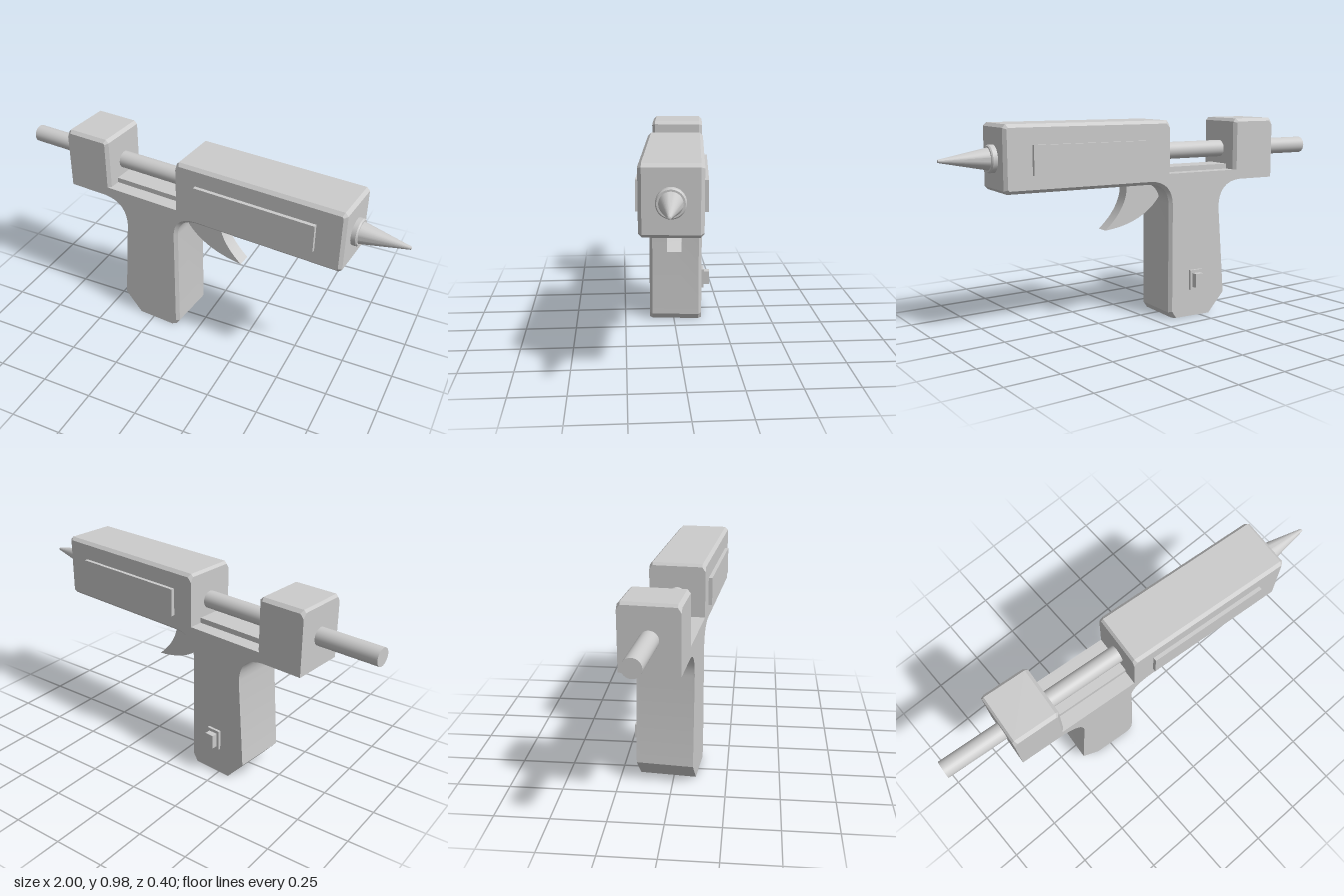
import * as THREE from 'three';
import { toCreasedNormals } from 'three/addons/utils/BufferGeometryUtils.js';

const HALF = 0.133;     // half width of the body
const CHAMFER = 0.015;
const AXIS_Y = 0.82;    // height of stick and nozzle

const material = new THREE.MeshStandardMaterial({ color: 0xcccccc });

function add(group, name, geometry, x = 0, y = 0, z = 0) {
  const mesh = new THREE.Mesh(geometry, material);
  mesh.name = name;
  mesh.position.set(x, y, z);
  group.add(mesh);
  return mesh;
}

// Points of a quadratic curve
function curve(a, b, c, n = 8) {
  return new THREE.QuadraticBezierCurve(
    new THREE.Vector2(...a), new THREE.Vector2(...b), new THREE.Vector2(...c)).getPoints(n);
}

// Slab from a counter-clockwise outline; chamfered[i] tells if edge i -> i+1 is chamfered
function chamferedSlab(outline, chamfered, half, size) {
  const n = outline.length;
  const normals = outline.map((p, i) => {
    const d = outline[(i + 1) % n].clone().sub(p).normalize();
    return new THREE.Vector2(-d.y, d.x); // points inward
  });
  const inset = outline.map((p, i) => {
    const j = (i + n - 1) % n;
    const a = normals[j], b = normals[i];
    const da = chamfered[j] ? size : 0, db = chamfered[i] ? size : 0;
    const det = a.x * b.y - a.y * b.x;
    if (Math.abs(det) < 0.02) return p.clone().addScaledVector(b, (da + db) / 2);
    return new THREE.Vector2(p.x + (da * b.y - db * a.y) / det, p.y + (a.x * db - b.x * da) / det);
  });
  const rings = [[inset, -half], [outline, size - half], [outline, half - size], [inset, half]];
  const pos = [];
  const put = (r, i) => pos.push(rings[r][0][i].x, rings[r][0][i].y, rings[r][1]);
  for (let r = 0; r < 3; r++) {
    for (let i = 0; i < n; i++) {
      const k = (i + 1) % n;
      put(r, i); put(r, k); put(r + 1, k);
      put(r, i); put(r + 1, k); put(r + 1, i);
    }
  }
  for (const [a, b, c] of THREE.ShapeUtils.triangulateShape(inset, [])) {
    put(3, a); put(3, b); put(3, c);
    put(0, a); put(0, c); put(0, b);
  }
  const g = new THREE.BufferGeometry();
  g.setAttribute('position', new THREE.Float32BufferAttribute(pos, 3));
  return toCreasedNormals(g, 0.4);
}

function bodyGeometry() {
  const outline = [], flags = [];
  const run = (chamfer, points) => points.forEach((p) => {
    outline.push(Array.isArray(p) ? new THREE.Vector2(...p) : p);
    flags.push(chamfer);
  });
  // rear block underside, back of the grip
  run(false, [[-0.70, 0.672]]);
  run(false, curve([-0.50, 0.672], [-0.375, 0.665], [-0.373, 0.54]));
  run(false, [[-0.408, 0.10], [-0.32, 0]]);
  // front of the grip, fillet and barrel housing
  run(false, [[-0.107, 0]].slice(1));
  run(true, [[-0.107, 0], [-0.087, 0.03]]);
  run(true, curve([-0.087, 0.57], [-0.083, 0.668], [0.02, 0.672]));
  run(true, [[0.738, 0.672], [0.753, 0.687], [0.753, 0.96], [0.738, 0.975], [-0.072, 0.975]]);
  // saddle and rear block
  run(false, [[-0.083, 0.962], [-0.083, 0.72], ]);
  run(true, [[-0.467, 0.72], [-0.467, 0.96], [-0.482, 0.975], [-0.69, 0.975]]);
  run(false, [[-0.70, 0.963]]);
  return chamferedSlab(outline, flags, HALF, CHAMFER);
}

function triggerGeometry() {
  const shape = new THREE.Shape();
  shape.moveTo(-0.09, 0.68);
  shape.lineTo(-0.09, 0.61);
  shape.quadraticCurveTo(0.0, 0.475, 0.215, 0.455);
  shape.quadraticCurveTo(0.115, 0.54, 0.10, 0.63);
  shape.lineTo(0.10, 0.68);
  const g = new THREE.ExtrudeGeometry(shape, { depth: 0.068, bevelEnabled: false, curveSegments: 10 });
  return toCreasedNormals(g.translate(0, 0, -0.034), 0.5);
}

export function createModel() {
  const model = new THREE.Group();
  model.name = 'glueGun';

  // Housing with grip, rear block and rail
  add(model, 'body', bodyGeometry());
  add(model, 'saddleRail', new THREE.BoxGeometry(0.40, 0.035, 0.13), -0.275, 0.7275, 0);
  add(model, 'trigger', triggerGeometry());

  // Glue stick running through the rear block
  const stick = new THREE.CylinderGeometry(0.042, 0.042, 0.95, 32).rotateZ(-Math.PI / 2);
  add(model, 'glueStick', stick, -0.525, AXIS_Y, 0);

  // Nozzle: collar and cone
  const profile = [[0, 0.74], [0.063, 0.74], [0.063, 0.774], [0.058, 0.78], [0.05, 0.78],
    [0.007, 1.0], [0, 1.003]].map((p) => new THREE.Vector2(...p));
  const nozzle = new THREE.LatheGeometry(profile, 32).rotateZ(-Math.PI / 2);
  add(model, 'nozzle', toCreasedNormals(nozzle, 0.5), 0, AXIS_Y, 0);

  // Raised panels on both sides of the barrel housing
  for (const side of [1, -1]) {
    add(model, side > 0 ? 'frontPanel' : 'backPanel',
      new THREE.BoxGeometry(0.60, 0.134, 0.036), 0.322, 0.817, side * HALF);
  }

  // Power switch on the back of the grip
  add(model, 'switchBase', new THREE.BoxGeometry(0.07, 0.10, 0.03), -0.235, 0.185, -0.131);
  add(model, 'switchKnob', new THREE.BoxGeometry(0.045, 0.07, 0.05), -0.235, 0.185, -0.15);

  // The whole gun is turned slightly about the vertical
  model.rotation.y = -0.087;
  return model;
}
